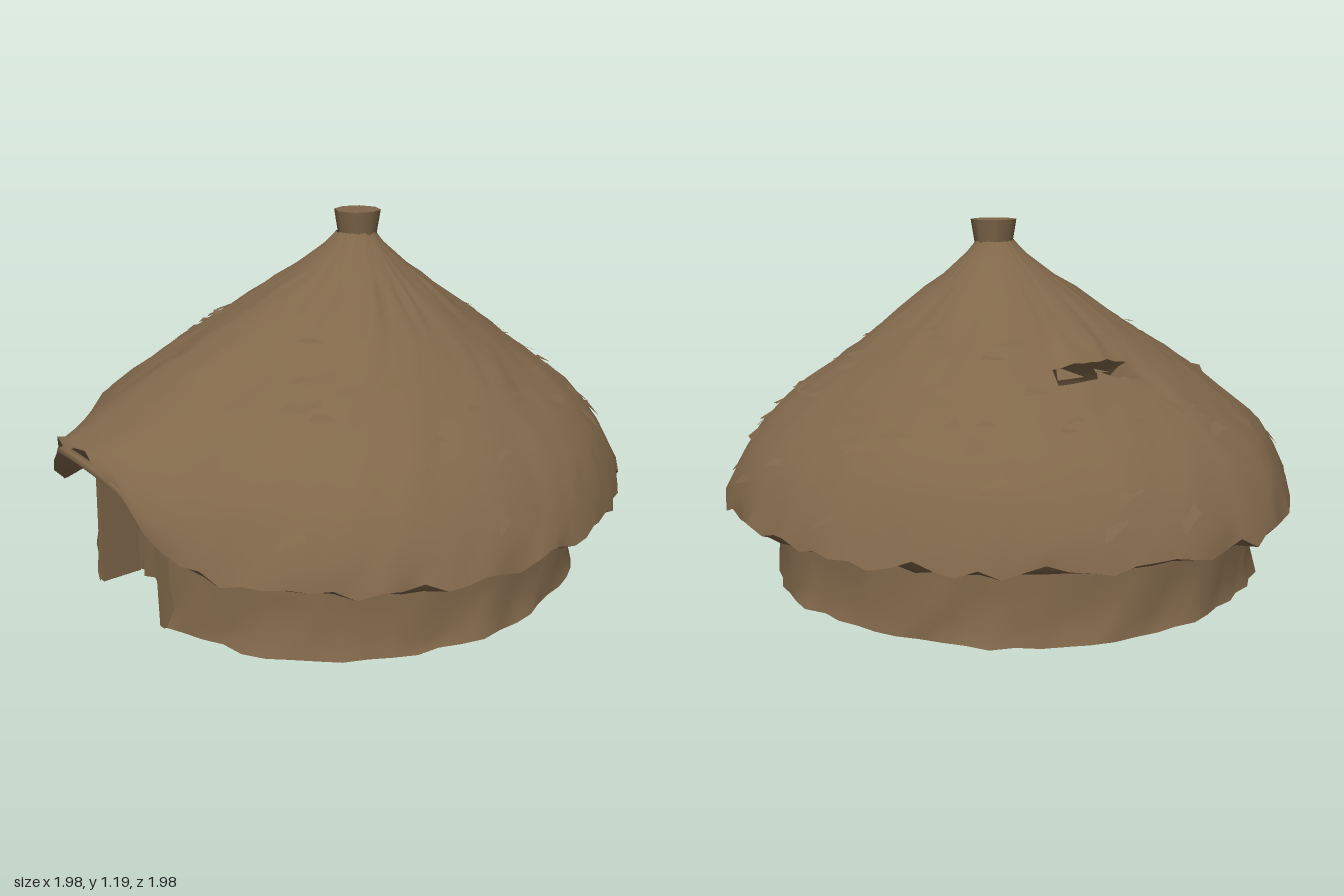
import * as THREE from 'three';

const thatchBrown = new THREE.MeshStandardMaterial({ color: 0x80674a, side: THREE.DoubleSide });
thatchBrown.name = 'thatchBrown';

// repeatable noise in -1..1
const noise = (i, k = 0) => {
  const s = Math.sin(i * 127.1 + k * 311.7 + 5.3) * 43758.5453;
  return 2 * (s - Math.floor(s)) - 1;
};
const mix = (a, b, t) => a + (b - a) * t;

// surface from rows (top to bottom) and columns (front towards +x)
function grid(rows, cols, closed, point, skip = () => false) {
  const pos = [], index = [];
  const n = closed ? cols : cols + 1;
  for (let i = 0; i < rows; i++) for (let j = 0; j < n; j++) pos.push(...point(i, j).toArray());
  for (let i = 0; i < rows - 1; i++) for (let j = 0; j < cols; j++) {
    if (skip(i, j)) continue;
    const k = (j + 1) % n;
    const a = i * n + j, b = i * n + k, c = a + n, d = b + n;
    index.push(a, c, b, b, c, d);
  }
  const g = new THREE.BufferGeometry();
  g.setAttribute('position', new THREE.Float32BufferAttribute(pos, 3));
  g.setIndex(index);
  g.computeVertexNormals();
  return g;
}

function add(group, name, geometry, x = 0, y = 0, z = 0) {
  const m = new THREE.Mesh(geometry, thatchBrown);
  m.name = name;
  m.position.set(x, y, z);
  group.add(m);
  return m;
}

// roof profile: radius, height
const PROFILE = [
  [0.065, 1.13], [0.1, 1.09], [0.19, 1.015], [0.26, 0.965], [0.36, 0.895], [0.44, 0.838], [0.515, 0.782],
  [0.575, 0.74], [0.64, 0.695], [0.7, 0.652], [0.79, 0.588], [0.87, 0.51], [0.92, 0.44], [0.96, 0.36], [0.98, 0.29],
];
const LAST = PROFILE.length - 1;
const APEX = new THREE.Vector3(0.065, 0, -0.06);
const COLS = 96;

// uneven outline: eave radius every 30 degrees, from the front towards +x
const OUTLINE = [1, 1.01, 1.02, 1.0, 1.005, 1.035, 1.015, 0.985, 1.0, 1.005, 0.955, 0.955];
function outline(a) {
  const t = ((a / (Math.PI * 2)) % 1 + 1) % 1 * 12;
  const k = Math.floor(t), f = t - k;
  return mix(OUTLINE[k % 12], OUTLINE[(k + 1) % 12], f * f * (3 - 2 * f));
}

// point on the roof; the front swells into a porch hood
function roofPoint(r, y, a) {
  const angle = Math.atan2(Math.sin(a), Math.cos(a));
  const w = 1 / (1 + Math.pow(angle / 0.29, 4));
  const hood = Math.max(y, 0.98 - 0.56 * (r - 0.25));
  const shift = Math.max(0, 1 - r / 0.95);
  const up = r > 0.25 ? mix(y, hood, w) : y;
  const s = r * mix(1, outline(a), Math.min(1, r));
  return new THREE.Vector3(Math.sin(a) * s + APEX.x * shift, up, Math.cos(a) * s + APEX.z * shift);
}

function heightAt(r) {
  for (let i = 1; i <= LAST; i++) {
    const [r0, y0] = PROFILE[i - 1], [r1, y1] = PROFILE[i];
    if (r <= r1) return mix(y0, y1, (r - r0) / (r1 - r0));
  }
  return PROFILE[LAST][1];
}

// ragged lower edge shared by the roof and its lip
function eavePoint(j) {
  const a = (j / COLS) * Math.PI * 2;
  const p = roofPoint(0.98 + noise(j, 1) * 0.014, 0.29, a);
  p.y += noise(j, 2) * 0.022;
  return p;
}

function roofGeometry() {
  const at = (i, j) => {
    if (i === LAST) return eavePoint(j);
    const a = (j / COLS) * Math.PI * 2;
    const [r, y] = PROFILE[i];
    const rough = i < 3 ? 0.002 : 0.006;
    const p = roofPoint(r + noise(j, i) * rough, y, a);
    p.y += noise(j, i + 40) * rough + noise(Math.floor(j / 5), i + 60) * rough;
    return p;
  };
  // narrow torn opening on the -x slope
  return grid(LAST + 1, COLS, true, at, (i, j) => i === 6 && j >= 63 && j <= 70);
}

// folded lip below the eave, running back to the top of the wall
function eaveGeometry() {
  return grid(5, COLS, true, (i, j) => {
    if (i === 0) return eavePoint(j);
    const a = (j / COLS) * Math.PI * 2;
    const p = roofPoint([0, 0.955, 0.91, 0.85, 0.822][i], 0.29, a);
    // the underside stays near level instead of climbing with the hood
    const edge = roofPoint(0.98, 0.29, a).y;
    p.y = i === 4 ? 0.38 : edge + [0, -0.012, 0.01, 0.03][i] + noise(j, 70 + i) * 0.01;
    return p;
  });
}

// loose thatch flaps lying on the sides and back
function flapGeometry() {
  const pos = [];
  for (let k = 0; k < 80; k++) {
    const a = Math.PI + noise(k, 1) * 2.5;
    const r = 0.62 + noise(k, 2) * 0.27;
    const len = 0.075 + noise(k, 3) * 0.035, half = (0.04 + noise(k, 4) * 0.02) / r;
    const corner = (rr, aa, lift) => {
      const p = roofPoint(rr, heightAt(rr), aa);
      p.y += lift;
      return p.toArray();
    };
    const top = corner(r, a + noise(k, 5) * half, -0.005);
    pos.push(...top, ...corner(r + len, a - half, 0.024), ...corner(r + len * 0.75, a + half, 0.012));
  }
  const g = new THREE.BufferGeometry();
  g.setAttribute('position', new THREE.Float32BufferAttribute(pos, 3));
  g.computeVertexNormals();
  return g;
}

// round wall, open at the doorway, with uneven panels and a ragged foot
function wallGeometry() {
  const gap = 0.235, cols = 66;
  const rows = [[0.822, 0.39], [0.825, 0.28], [0.83, 0.18], [0.83, 0.075], [0.848, 0.013]];
  return grid(rows.length, cols, false, (i, j) => {
    const a = mix(gap, Math.PI * 2 - gap, j / cols);
    const panel = noise(Math.floor(j / 4), 90) * 0.012;
    const r = rows[i][0] + panel + noise(j, i + 95) * (i > 2 ? 0.014 : 0.005);
    const y = rows[i][1] + (i === 3 ? noise(j, 110) * 0.025 : 0);
    return new THREE.Vector3(Math.sin(a) * r + 0.012, y, Math.cos(a) * r);
  });
}

export function createModel() {
  const hut = new THREE.Group();
  hut.name = 'roundHut';

  add(hut, 'thatchedRoof', roofGeometry());
  add(hut, 'eaveUnderside', eaveGeometry());
  add(hut, 'thatchFlaps', flapGeometry());
  add(hut, 'roofCap', new THREE.CylinderGeometry(0.078, 0.064, 0.085, 8), APEX.x, 1.16, APEX.z);
  add(hut, 'wall', wallGeometry());

  // recessed doorway with a gently folded door panel
  const doorway = new THREE.Group();
  doorway.name = 'doorway';
  hut.add(doorway);
  add(doorway, 'door', grid(4, 12, false, (i, j) => new THREE.Vector3(
    mix(-0.18, 0.2, j / 12), mix(0.44, 0.02, i / 3), 0.69 + noise(j, 120) * 0.012 + noise(j, i + 121) * 0.004)));
  for (const side of [-1, 1]) {
    const reveal = add(doorway, 'doorReveal', new THREE.BoxGeometry(0.025, 0.43, 0.14), side * 0.19 + 0.012, 0.23, 0.755);
    reveal.rotation.z = side * 0.04;
  }
  add(doorway, 'lintel', new THREE.BoxGeometry(0.42, 0.035, 0.14), 0.01, 0.45, 0.76);

  // thatch edge arching over the door
  const arch = new THREE.CatmullRomCurve3([
    [-0.31, 0.41, 0.88], [-0.22, 0.49, 0.92], [-0.1, 0.525, 0.95], [0.1, 0.525, 0.955], [0.22, 0.49, 0.935], [0.32, 0.41, 0.9],
  ].map(p => new THREE.Vector3(...p)));
  add(doorway, 'hoodEdge', new THREE.TubeGeometry(arch, 20, 0.016, 6));

  return hut;
}
